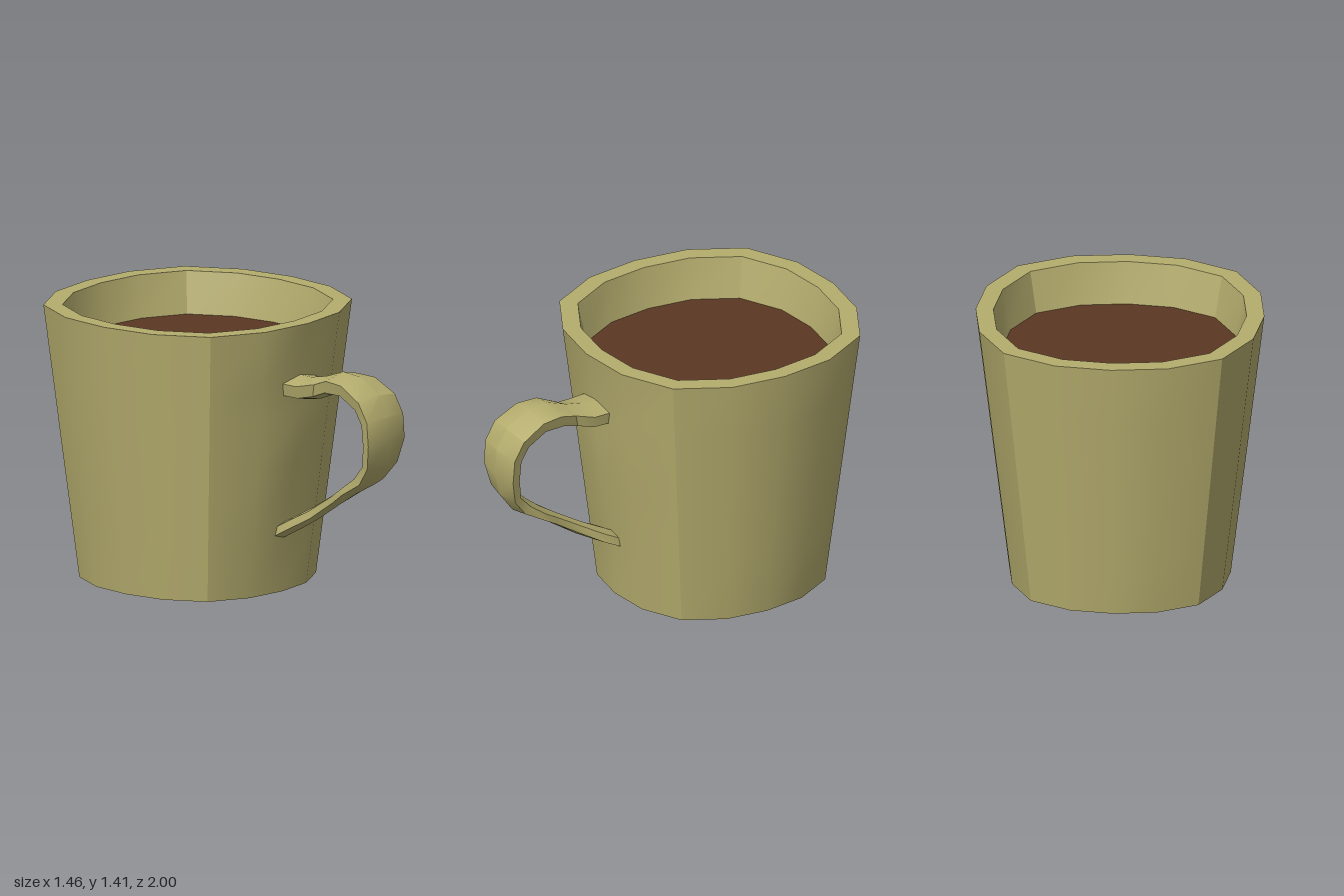
import * as THREE from 'three';
import { toCreasedNormals } from 'three/addons/utils/BufferGeometryUtils.js';

const SIDES = 16;
const CENTRE_Z = -0.27;
const CREASE = 0.52;

// Joins equal-sized rings of [x, y, z] points; optional fans close either end.
function loft(rings, capStart, capEnd) {
  const n = rings[0].length;
  const points = rings.flat();
  const index = [];
  for (let j = 0; j < rings.length - 1; j++) {
    for (let i = 0; i < n; i++) {
      const k = (i + 1) % n;
      const a = j * n + i, b = j * n + k;
      index.push(a, b, b + n, a, b + n, a + n);
    }
  }
  const fan = (j, flip) => {
    const mid = [0, 1, 2].map(c => rings[j].reduce((s, p) => s + p[c], 0) / n);
    const m = points.push(mid) - 1;
    for (let i = 0; i < n; i++) {
      const a = j * n + i, b = j * n + (i + 1) % n;
      index.push(m, flip ? b : a, flip ? a : b);
    }
  };
  if (capStart) fan(0, true);
  if (capEnd) fan(rings.length - 1, false);
  const geometry = new THREE.BufferGeometry();
  geometry.setAttribute('position', new THREE.Float32BufferAttribute(points.flat(), 3));
  geometry.setIndex(index);
  return toCreasedNormals(geometry, CREASE);
}

// Sixteen-sided ring, slightly squared; the front point can be pushed in.
function cupRing(y, radius, dent = 0) {
  const bulge = [1, 1.028, 1.07, 1.028];
  return Array.from({ length: SIDES }, (_, i) => {
    const a = (i / SIDES) * Math.PI * 2;
    const r = radius * bulge[i % 4];
    return [Math.sin(a) * r, y, CENTRE_Z + Math.cos(a) * r - (i === 0 ? dent : 0)];
  });
}

// Hexagonal handle section between an outer and an inner ridge.
function handleRing([zo, yo, zi, yi, half]) {
  const section = [[0, 0], [-1, 0.25], [-0.88, 0.8], [0, 1], [0.88, 0.8], [1, 0.25]];
  return section.map(([x, t]) => [x * half, yo + (yi - yo) * t, zo + (zi - zo) * t]);
}

export function createModel() {
  const group = new THREE.Group();
  const clay = new THREE.MeshStandardMaterial({ color: 0xb5ad6e });
  const brown = new THREE.MeshStandardMaterial({ color: 0x5a3822 });

  const add = (name, geometry, material) => {
    const mesh = new THREE.Mesh(geometry, material);
    mesh.name = name;
    group.add(mesh);
  };

  // Cup: outer wall, flat rim, inner wall down to the drink
  add('cup', loft([
    cupRing(0, 0.56),
    cupRing(0.3, 0.596, 0.025),
    cupRing(0.68, 0.642),
    cupRing(0.95, 0.674, 0.005),
    cupRing(1.1, 0.692, 0.02),
    cupRing(1.415, 0.73),
    cupRing(1.415, 0.64),
    cupRing(1.19, 0.596),
  ], true, false), clay);

  // Drink surface
  add('drink', loft([cupRing(1.19, 0.597), cupRing(1.2, 0.598)], false, true), brown);

  // Handle: outer z, y, inner z, y, half width
  const sections = [
    [0.36, 1.145, 0.36, 1.025, 0.125],
    [0.48, 1.14, 0.48, 1.025, 0.12],
    [0.58, 1.16, 0.55, 1.04, 0.088],
    [0.69, 1.2, 0.65, 1.08, 0.122],
    [0.8, 1.19, 0.76, 1.085, 0.132],
    [0.93, 1.115, 0.86, 1.035, 0.142],
    [0.99, 1.01, 0.9, 0.97, 0.142],
    [1, 0.88, 0.91, 0.87, 0.142],
    [0.97, 0.75, 0.89, 0.76, 0.118],
    [0.895, 0.645, 0.82, 0.69, 0.095],
    [0.77, 0.575, 0.74, 0.625, 0.092],
    [0.68, 0.515, 0.65, 0.565, 0.06],
    [0.52, 0.405, 0.49, 0.465, 0.046],
    [0.4, 0.335, 0.38, 0.405, 0.074],
    [0.27, 0.265, 0.27, 0.345, 0.068],
  ];
  add('handle', loft(sections.map(handleRing), true, true), clay);

  return group;
}
